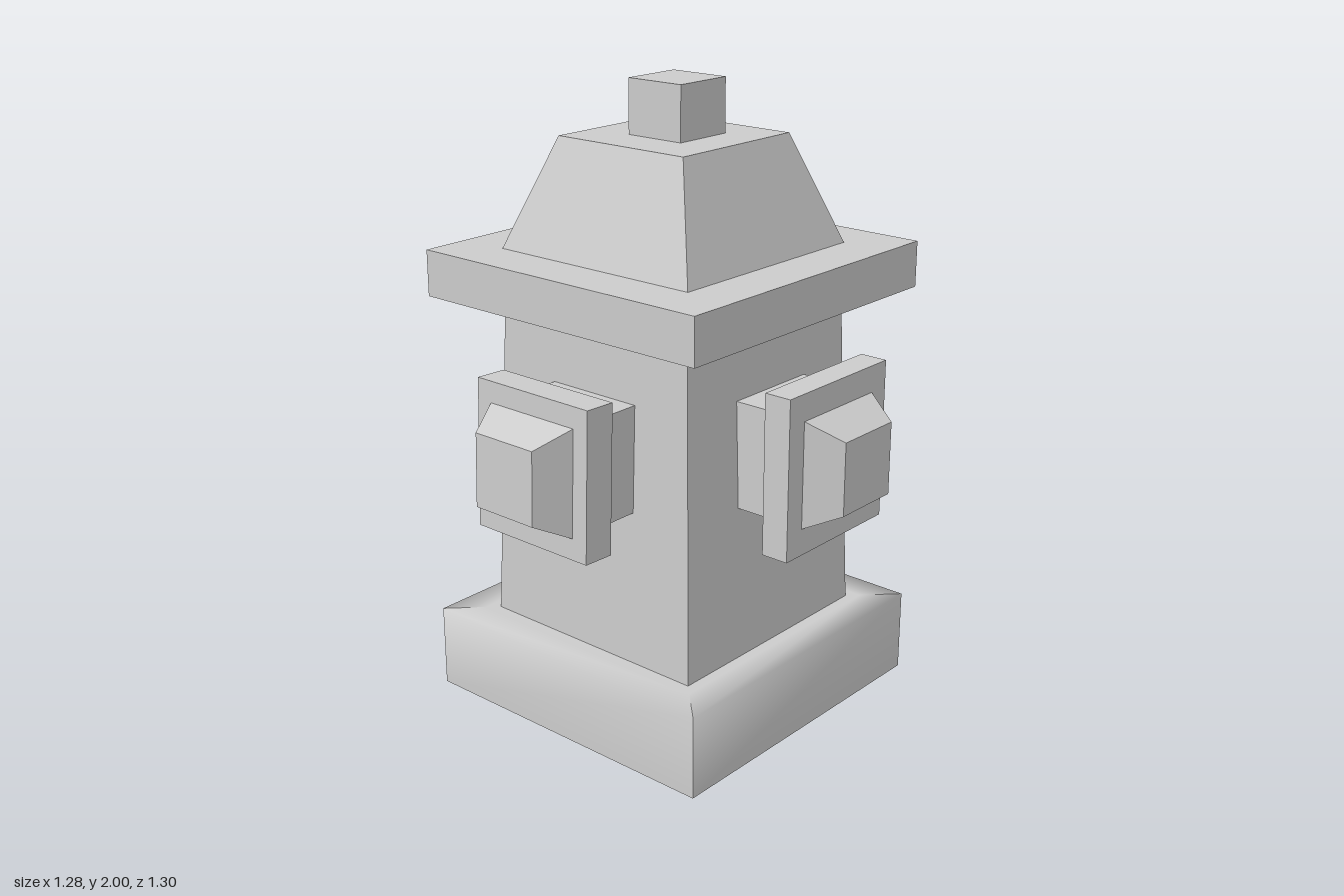
import * as THREE from 'three';

const flat = new THREE.MeshStandardMaterial({ color: 0xcccccc, flatShading: true });
const smooth = new THREE.MeshStandardMaterial({ color: 0xcccccc });

function add(parent, name, geometry, x, y, z, material = flat) {
  const mesh = new THREE.Mesh(geometry, material);
  mesh.name = name;
  mesh.position.set(x, y, z);
  parent.add(mesh);
  return mesh;
}

// Square frustum along y, standing on y = 0, given half widths
function frustum(bottom, top, height) {
  const g = new THREE.CylinderGeometry(top * Math.SQRT2, bottom * Math.SQRT2, height, 4);
  return g.rotateY(Math.PI / 4).translate(0, height / 2, 0);
}

// One side of the plinth: wall and top rim share softened normals
function plinthSide(half, inner, height) {
  const g = new THREE.BufferGeometry();
  const rows = [[half, 0], [half, height], [inner, height]];
  g.setAttribute('position', new THREE.Float32BufferAttribute(
    rows.flatMap(([r, y]) => [-r, y, r, r, y, r]), 3));
  g.setIndex([0, 1, 3, 0, 3, 2, 2, 3, 5, 2, 5, 4]);
  g.computeVertexNormals();
  return g;
}

// Outlet pointing along +z: neck, flange and tapered cap
function outlet(name, { neckStart, flangeStart, flangeEnd, tipEnd, width, height, tilt }) {
  const group = new THREE.Group();
  group.name = name;
  const neckLength = flangeStart + 0.03 - neckStart;
  add(group, 'neck', new THREE.BoxGeometry(0.33, 0.34, neckLength), 0, 0, neckStart + neckLength / 2);
  const head = new THREE.Group();
  head.name = 'outletHead';
  head.position.z = flangeStart;
  head.rotation.x = tilt;
  group.add(head);
  const depth = flangeEnd - flangeStart;
  add(head, 'flange', new THREE.BoxGeometry(width, height, depth), 0, 0, depth / 2);
  const tip = frustum(0.168, 0.115, tipEnd - flangeEnd).rotateX(Math.PI / 2);
  add(head, 'outletCap', tip, 0, 0, depth);
  return group;
}

export function createModel() {
  const model = new THREE.Group();
  const cx = -0.102, cz = -0.11;

  // Plinth
  const plinth = new THREE.Group();
  plinth.name = 'plinth';
  plinth.position.set(cx, 0, cz);
  model.add(plinth);
  for (let i = 0; i < 4; i++) {
    add(plinth, 'plinthSide', plinthSide(0.54, 0.44, 0.27), 0, 0, 0, smooth).rotation.y = i * Math.PI / 2;
  }
  add(plinth, 'plinthTop', new THREE.PlaneGeometry(0.88, 0.88).rotateX(-Math.PI / 2), 0, 0.27, 0);
  add(plinth, 'plinthBottom', new THREE.PlaneGeometry(1.08, 1.08).rotateX(Math.PI / 2), 0, 0, 0);

  // Tapered body, collar, bonnet and top nut
  add(model, 'body', frustum(0.406, 0.37, 1.08), cx, 0.265, cz);
  add(model, 'collar', new THREE.BoxGeometry(1.072, 0.147, 1.072), cx, 1.412, cz);
  add(model, 'bonnet', frustum(0.373, 0.246, 0.345), cx, 1.485, cz);
  add(model, 'topNut', new THREE.BoxGeometry(0.206, 0.18, 0.206), -0.098, 1.91, -0.118);

  // Front outlet leans slightly downward
  const front = outlet('frontOutlet', {
    neckStart: 0.2, flangeStart: 0.433, flangeEnd: 0.537, tipEnd: 0.648,
    width: 0.446, height: 0.47, tilt: -0.035,
  });
  front.position.set(-0.093, 0.935, 0);
  model.add(front);

  // Left outlet
  const side = outlet('leftOutlet', {
    neckStart: 0.2, flangeStart: 0.438, flangeEnd: 0.528, tipEnd: 0.638,
    width: 0.475, height: 0.506, tilt: 0,
  });
  side.position.set(0, 0.935, -0.12);
  side.rotation.y = Math.PI / 2;
  model.add(side);

  return model;
}
